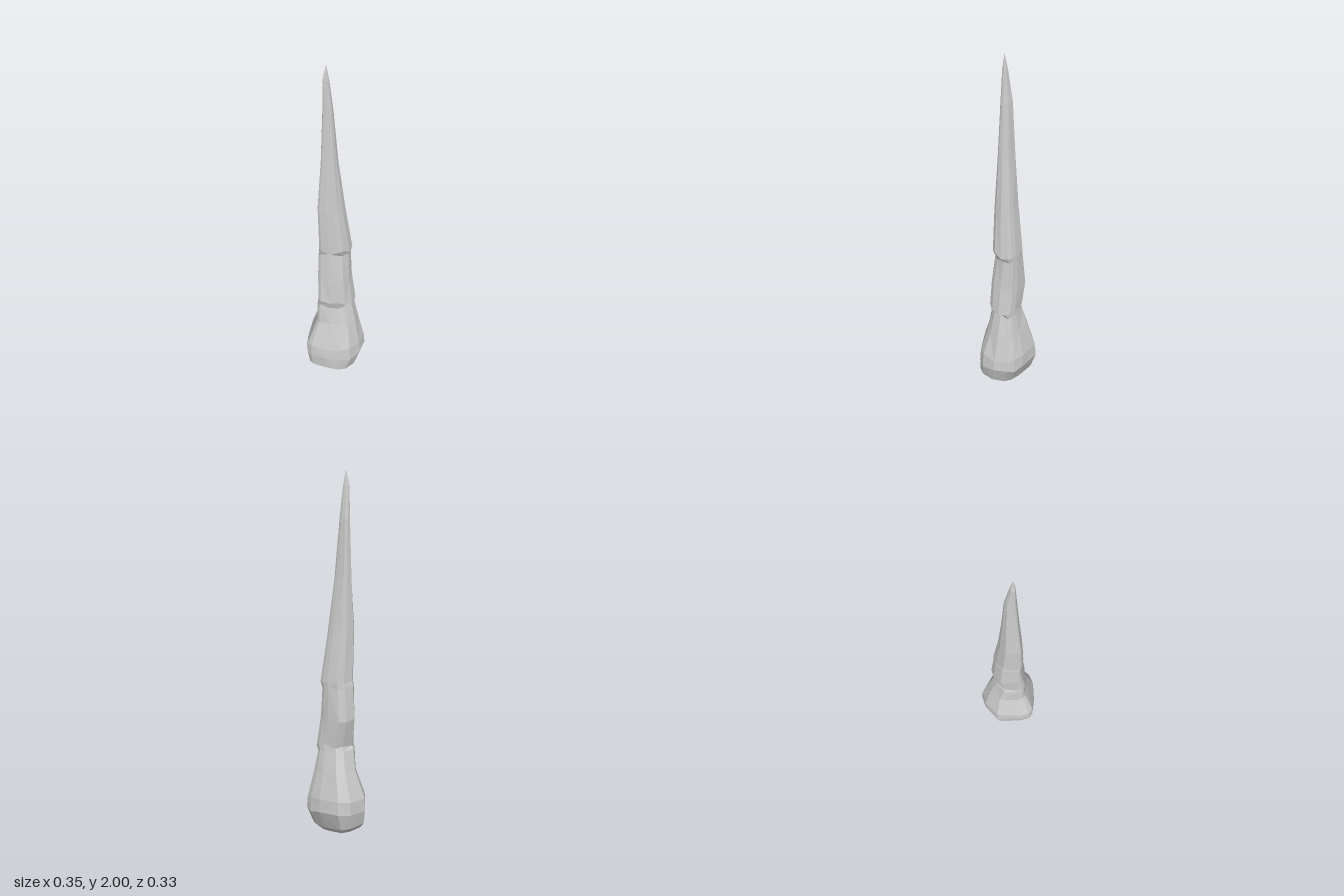
import * as THREE from 'three';

// Irregular rock outline, scaled to a unit square (x, z), going back > left > front > right
const OUTLINE = [
  [0.06, -1], [0.47, -0.93], [0.86, -0.3], [1, 0.07], [1, 0.35], [0.74, 0.76], [0.31, 1],
  [0, 1], [-0.48, 0.77], [-0.92, 0.47], [-1, 0.29], [-0.92, -0.06], [-0.55, -0.83],
];

// Sections: height, min x, max x, min z, max z
const SECTIONS = [
  [0.01, -0.13, 0.10, -0.12, 0.11],
  [0.035, -0.16, 0.13, -0.14, 0.16],
  [0.12, -0.175, 0.175, -0.165, 0.17],
  [0.19, -0.17, 0.17, -0.16, 0.165],
  [0.35, -0.11, 0.137, -0.115, 0.12],
  [0.47, -0.105, 0.115, -0.08, 0.09],
  [0.50, -0.102, 0.118, -0.072, 0.105],
  [0.65, -0.097, 0.10, -0.10, 0.092],
  [0.83, -0.09, 0.096, -0.083, 0.068],
  [0.86, -0.09, 0.10, -0.08, 0.086],
  [1.13, -0.095, 0.06, -0.065, 0.066],
  [1.43, -0.072, 0.024, -0.052, 0.044],
  [1.74, -0.058, -0.002, -0.04, 0.025],
  [1.91, -0.058, -0.022, -0.018, 0.012],
];

// Repeatable small variation for the chipped facets
function seeded(seed) {
  return () => {
    seed = (seed * 16807) % 2147483647;
    return seed / 2147483647;
  };
}

function buildSpike() {
  const n = OUTLINE.length;
  const rand = seeded(71);
  const positions = [];
  const indices = [];

  SECTIONS.forEach(([y, x0, x1, z0, z1], i) => {
    const rough = i > 1 && i < 12 ? 1 : 0;
    for (const [u, v] of OUTLINE) {
      const shrink = 1 - rough * 0.07 * rand() * (1 - Math.max(Math.abs(u), Math.abs(v)) * 0.7);
      const lift = rough * (rand() - 0.5) * 0.028;
      // The foot leans slightly down towards the left
      const tilt = i < 2 ? -0.01 * u : 0;
      positions.push(
        (x0 + x1) / 2 + u * shrink * (x1 - x0) / 2,
        y + lift + tilt,
        (z0 + z1) / 2 + v * shrink * (z1 - z0) / 2,
      );
    }
  });

  // Side facets, with alternating diagonals
  for (let i = 0; i < SECTIONS.length - 1; i++) {
    for (let j = 0; j < n; j++) {
      const k = (j + 1) % n;
      const a = i * n + j, b = i * n + k, c = a + n, d = b + n;
      if ((i + j) % 2) indices.push(a, c, b, b, c, d);
      else indices.push(a, c, d, a, d, b);
    }
  }

  // Pointed tip and closed underside
  const tip = positions.length / 3;
  positions.push(-0.038, 2, 0, 0, 0, 0);
  const last = (SECTIONS.length - 1) * n;
  for (let j = 0; j < n; j++) {
    const k = (j + 1) % n;
    indices.push(last + j, tip, last + k);
    indices.push(tip + 1, j, k);
  }

  const geometry = new THREE.BufferGeometry();
  geometry.setAttribute('position', new THREE.Float32BufferAttribute(positions, 3));
  geometry.setIndex(indices);
  const faceted = geometry.toNonIndexed();
  faceted.computeVertexNormals();
  return faceted;
}

export function createModel() {
  const group = new THREE.Group();
  group.name = 'stalagmite';
  const stone = new THREE.MeshStandardMaterial({ color: 0xcccccc, flatShading: true });
  const spike = new THREE.Mesh(buildSpike(), stone);
  spike.name = 'rockSpike';
  group.add(spike);
  return group;
}
